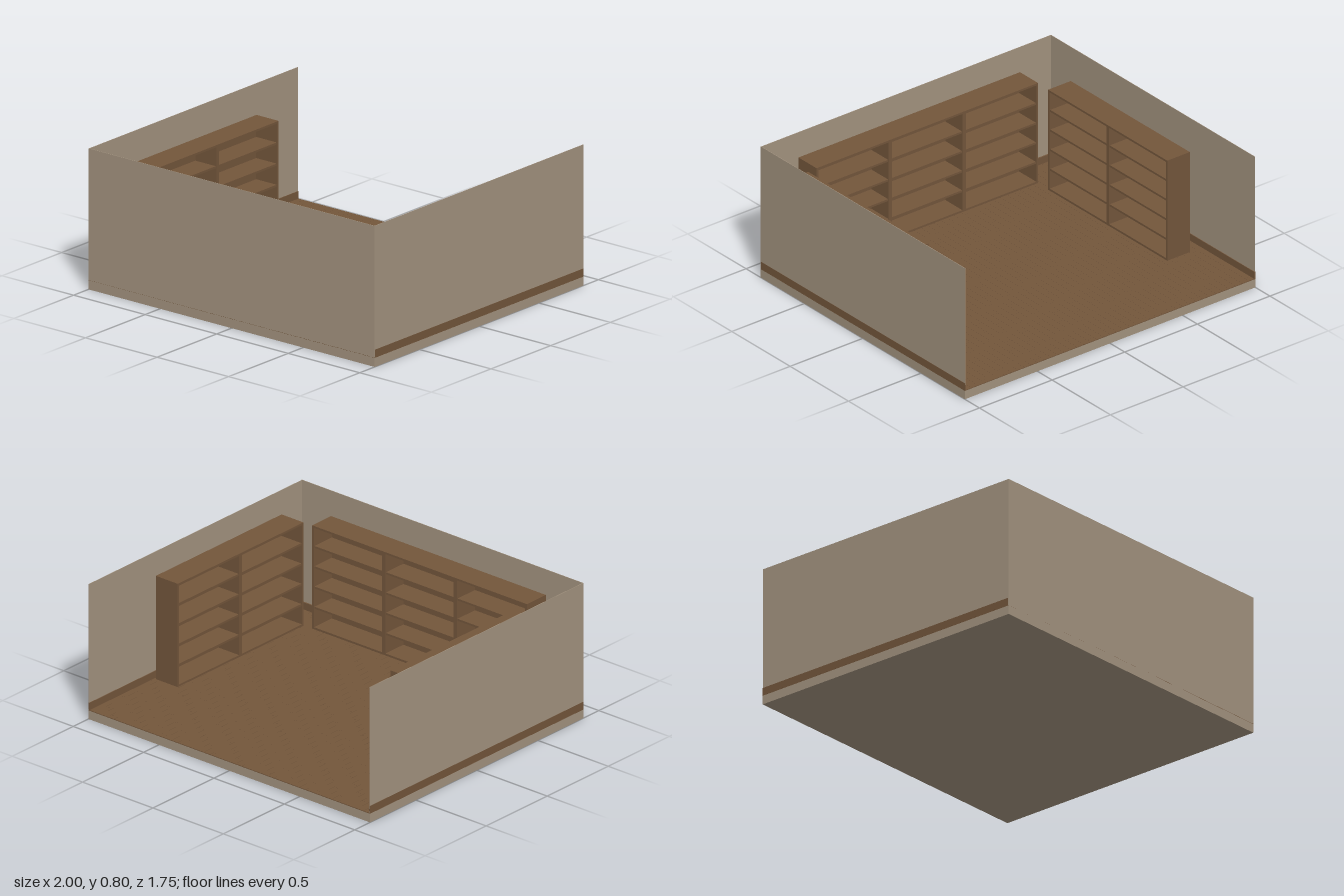
import * as THREE from 'three';
import { mergeGeometries } from 'three/addons/utils/BufferGeometryUtils.js';

const W = 2, D = 1.75, H = 0.8, FLOOR = 0.055;
const plaster = new THREE.MeshStandardMaterial({ color: 0xa3937f, name: 'plaster' });
const wood = new THREE.MeshStandardMaterial({ color: 0x73563b, name: 'wood' });

// Box given by its min and max corners
function span(x0, x1, y0, y1, z0, z1) {
  return new THREE.BoxGeometry(x1 - x0, y1 - y0, z1 - z0)
    .translate((x0 + x1) / 2, (y0 + y1) / 2, (z0 + z1) / 2);
}

function part(name, geometry, material) {
  const mesh = new THREE.Mesh(geometry, material);
  mesh.name = name;
  return mesh;
}

// Row of open bookcases, back at z = 0, opening towards +z, centred on x
function bookcaseRow(name, length, units) {
  const depth = 0.155, height = 0.612, t = 0.012, rows = 5;
  const unit = length / units;
  const row = new THREE.Group();
  row.name = name;
  for (let u = 0; u < units; u++) {
    const x0 = -length / 2 + u * unit, x1 = x0 + unit;
    const boards = [
      span(x0, x0 + t, 0, height, 0, depth),
      span(x1 - t, x1, 0, height, 0, depth),
      span(x0 + t, x1 - t, 0, height, 0, 0.008),
    ];
    for (let i = 0; i <= rows; i++) {
      const y = (height - t) * i / rows;
      const front = i === 0 || i === rows ? depth : depth - 0.004;
      boards.push(span(x0 + t, x1 - t, y, y + t, 0.008, front));
    }
    row.add(part('bookcase', mergeGeometries(boards), wood));
  }
  return row;
}

// Staggered narrow floorboards running front to back
function floorboards() {
  const count = 44, pitch = W / count, length = 0.25, gap = 0.0006;
  const boards = [];
  for (let i = 0; i < count; i++) {
    const x0 = -W / 2 + i * pitch;
    let z = -D / 2, end = z + length * (((i * 5) % 8) + 1) / 8;
    while (z < D / 2 - 1e-6) {
      const z1 = Math.min(end, D / 2);
      boards.push(span(x0 + gap / 2, x0 + pitch - gap / 2, FLOOR - 0.003, FLOOR, z, z1 - gap));
      z = z1;
      end = z1 + length;
    }
  }
  return mergeGeometries(boards);
}

export function createModel() {
  const room = new THREE.Group();
  room.name = 'libraryRoom';
  const x = W / 2, z = D / 2;

  // Base slab and floor
  room.add(part('baseSlab', span(-x, x, 0, FLOOR - 0.004, -z, z), plaster));
  room.add(part('subfloor', span(-x, x, FLOOR - 0.004, FLOOR - 0.002, -z, z), wood));
  room.add(part('floorboards', floorboards(), wood));

  // Thin walls on three sides, the back stays open
  room.add(part('frontWall', span(-x, x, 0, H, z - 0.003, z), plaster));
  for (const s of [-1, 1]) {
    const side = s < 0 ? 'right' : 'left';
    const a = s * (x - 0.0025);
    room.add(part(side + 'Wall', span(a - 0.0015, a + 0.0015, 0, H, -z, z - 0.003), plaster));
    // Side skirting shows on both faces of the wall
    const b = s * (x - 0.004);
    room.add(part(side + 'Skirting', span(b - 0.004, b + 0.004, FLOOR, 0.097, -z, z - 0.001), wood));
  }
  room.add(part('frontSkirting', span(-x + 0.008, x - 0.008, FLOOR, 0.097, 0.841, 0.849), wood));

  // Bookcases facing into the room
  const front = bookcaseRow('frontBookcases', 1.525, 3);
  front.position.set(0.003, FLOOR, 0.843);
  front.rotation.y = Math.PI;
  const right = bookcaseRow('rightBookcases', 1.02, 2);
  right.position.set(-0.91, FLOOR, 0.085);
  right.rotation.y = Math.PI / 2;
  const left = bookcaseRow('leftBookcases', 1.03, 2);
  left.position.set(0.98, FLOOR, 0.17);
  left.rotation.y = -Math.PI / 2;
  room.add(front, right, left);
  return room;
}
